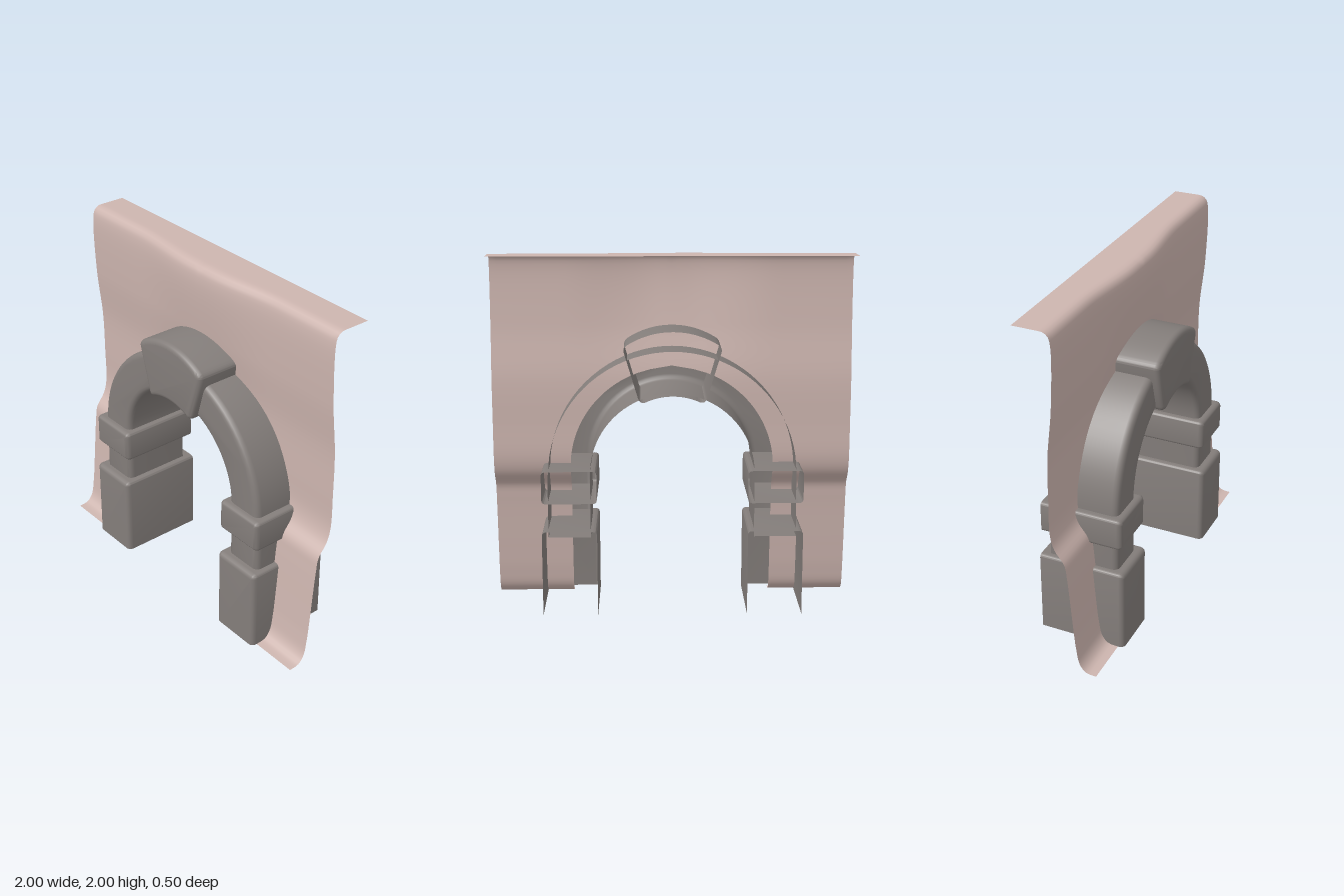
import * as THREE from 'three';
import { toCreasedNormals } from 'three/addons/utils/BufferGeometryUtils.js';

const stone = new THREE.MeshStandardMaterial({ color: 0x837d7a, side: THREE.DoubleSide });
const plaster = new THREE.MeshStandardMaterial({ color: 0xcdb5af, side: THREE.DoubleSide });

// Hollow block: outline pushed from zBack to zFront, rounded front edge, open back.
// Anything below y = 0 is flattened and left open.
function shell(name, shape, zBack, zFront, r) {
  const extruded = new THREE.ExtrudeGeometry(shape, {
    depth: zFront - zBack - r, curveSegments: 20,
    bevelThickness: r, bevelSize: r, bevelOffset: -r, bevelSegments: 4,
  });
  const src = (extruded.index ? extruded.toNonIndexed() : extruded).attributes.position;
  const kept = [];
  for (let i = 0; i < src.count; i += 3) {
    const tri = [0, 1, 2].map((k) => new THREE.Vector3().fromBufferAttribute(src, i + k));
    if (tri.every((v) => v.z < 1e-5) || tri.every((v) => v.y < 1e-5)) continue;
    tri.forEach((v) => kept.push(v.x, Math.max(v.y, 0), v.z + zBack));
  }
  const geo = new THREE.BufferGeometry();
  geo.setAttribute('position', new THREE.Float32BufferAttribute(kept, 3));
  const mesh = new THREE.Mesh(toCreasedNormals(geo, 0.7), stone);
  mesh.name = name;
  return mesh;
}

// Rectangle with small rounded corners
function block(x0, x1, y0, y1, c) {
  const s = new THREE.Shape();
  s.moveTo(x0 + c, y0);
  s.lineTo(x1 - c, y0);
  s.quadraticCurveTo(x1, y0, x1, y0 + c);
  s.lineTo(x1, y1 - c);
  s.quadraticCurveTo(x1, y1, x1 - c, y1);
  s.lineTo(x0 + c, y1);
  s.quadraticCurveTo(x0, y1, x0, y1 - c);
  s.lineTo(x0, y0 + c);
  s.quadraticCurveTo(x0, y0, x0 + c, y0);
  return s;
}

// Arch band with straight legs
function archShape() {
  const s = new THREE.Shape();
  s.moveTo(0.69, 0.44);
  s.lineTo(0.69, 0.8);
  s.absarc(0, 0.8, 0.685, 0, Math.PI, false);
  s.lineTo(-0.69, 0.44);
  s.lineTo(-0.455, 0.44);
  s.lineTo(-0.455, 0.8);
  s.absarc(0, 0.8, 0.455, Math.PI, 0, true);
  s.lineTo(0.455, 0.44);
  s.closePath();
  return s;
}

// Flared wedge with a domed top and a hollowed underside
function keystoneShape() {
  const s = new THREE.Shape();
  s.moveTo(-0.135, 1.222);
  s.quadraticCurveTo(0, 1.275, 0.135, 1.222);
  s.quadraticCurveTo(0.175, 1.2, 0.188, 1.24);
  s.lineTo(0.263, 1.49);
  s.quadraticCurveTo(0.268, 1.513, 0.245, 1.53);
  s.quadraticCurveTo(0.13, 1.6, 0, 1.6);
  s.quadraticCurveTo(-0.13, 1.6, -0.245, 1.53);
  s.quadraticCurveTo(-0.268, 1.513, -0.263, 1.49);
  s.lineTo(-0.188, 1.24);
  s.quadraticCurveTo(-0.175, 1.2, -0.135, 1.222);
  return s;
}

// Thin wall sheet: a side profile run along x, with an arched opening
function wallSheet() {
  const profile = [
    [0.215, 0], [0.155, 0.008], [0.12, 0.05], [0.1, 0.15], [0.085, 0.3], [0.058, 0.6], [0.045, 0.68],
    [-0.01, 0.76], [-0.032, 0.84], [-0.034, 1.05], [-0.03, 1.3], [0, 1.6], [0.008, 1.93],
    [-0.005, 1.98], [-0.04, 2], [-0.2, 2],
  ];
  const curve = new THREE.CatmullRomCurve3(profile.map(([z, y]) => new THREE.Vector3(0, y, z)));
  const rows = curve.getSpacedPoints(110);
  const cols = 24, holeR = 0.57, holeY = 0.8;
  const pos = [], index = [];
  for (const side of [1, -1]) {
    const base = pos.length / 3;
    rows.forEach((p, j) => {
      const y = THREE.MathUtils.clamp(p.y, 0, 2);
      const rise = Math.max(0, y - holeY);
      const inner = rise < holeR ? Math.sqrt(holeR * holeR - rise * rise) : 0;
      // The upper wall bellies forward in the middle; the rear lip stays straight
      const lift = THREE.MathUtils.smoothstep(y, 1.2, 2) * THREE.MathUtils.smoothstep(p.z, -0.2, 0);
      for (let i = 0; i <= cols; i++) {
        const x = THREE.MathUtils.lerp(inner, 1, i / cols);
        const belly = 0.04 * lift * (1 - THREE.MathUtils.smoothstep(x, 0.08, 0.58));
        pos.push(side * x, y, p.z + belly);
        if (i < cols && j < rows.length - 1) {
          const a = base + j * (cols + 1) + i, b = a + 1, c = a + cols + 1, d = c + 1;
          if (side > 0) index.push(a, b, d, a, d, c);
          else index.push(a, d, b, a, c, d);
        }
      }
    });
  }
  const geo = new THREE.BufferGeometry();
  geo.setAttribute('position', new THREE.Float32BufferAttribute(pos, 3));
  geo.setIndex(index);
  geo.computeVertexNormals();
  const mesh = new THREE.Mesh(geo, plaster);
  mesh.name = 'wall';
  return mesh;
}

export function createModel() {
  const model = new THREE.Group();
  model.name = 'archway';
  model.add(wallSheet());
  model.add(shell('arch', archShape(), -0.2, 0.2, 0.035));
  model.add(shell('keystone', keystoneShape(), -0.25, 0.25, 0.03));

  // Pillar base and capital band on each side
  for (const [label, s] of [['left', 1], ['right', -1]]) {
    const x0 = s > 0 ? 0.418 : -0.724, x1 = s > 0 ? 0.724 : -0.418;
    model.add(shell(label + 'Base', block(x0, x1, -0.08, 0.485, 0.025), -0.25, 0.25, 0.03));
    model.add(shell(label + 'Capital', block(x0, x1, 0.642, 0.825, 0.025), -0.235, 0.24, 0.03));
  }
  return model;
}
